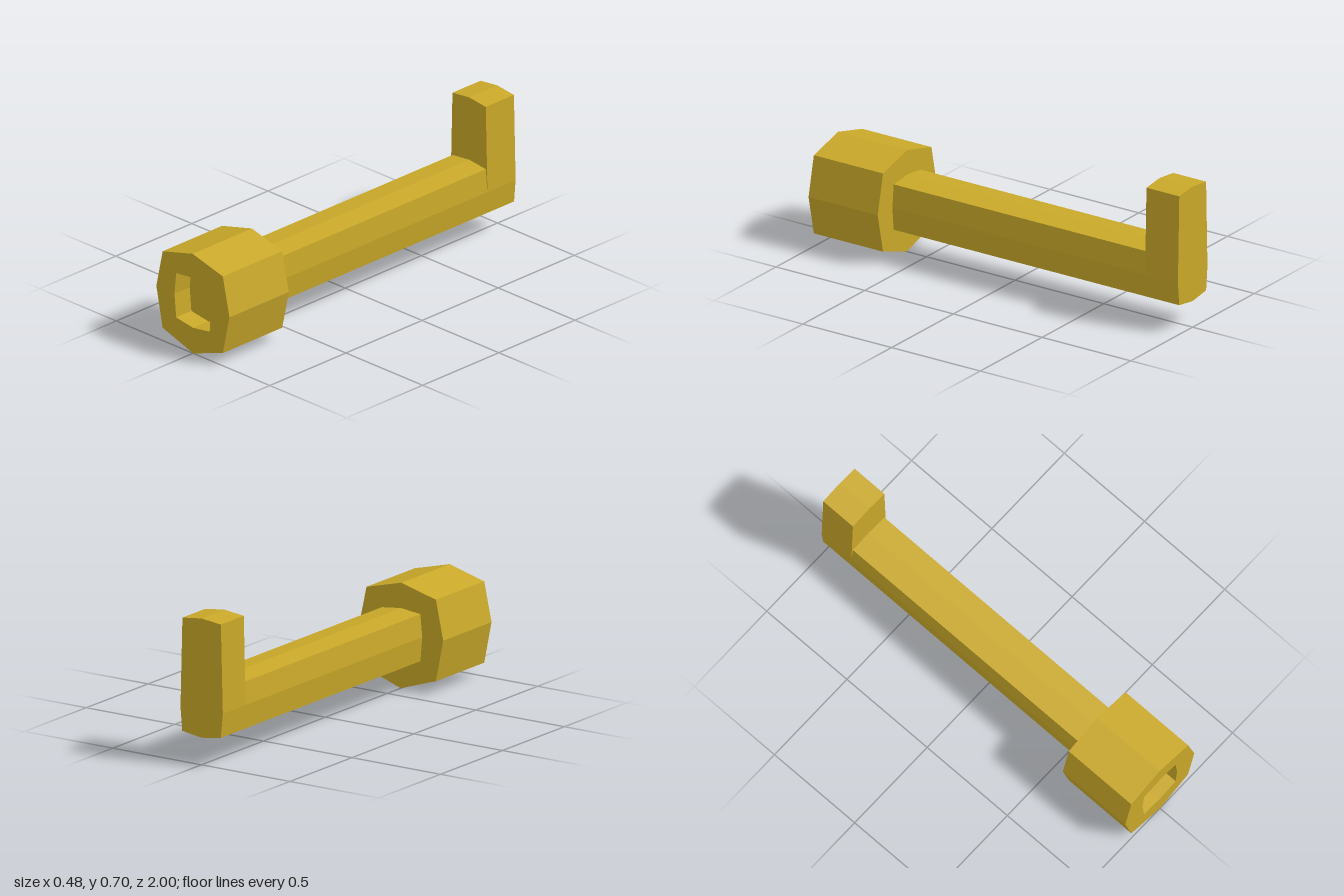
import * as THREE from 'three';

// Eight-sided profiles, counter-clockwise from the left-hand upper corner (x, y)
const socketOutline = [[0.194, 0.457], [-0.003, 0.508], [-0.198, 0.457], [-0.239, 0.267],
  [-0.198, 0.066], [0.001, 0.001], [0.194, 0.066], [0.237, 0.262]];
const barOutline = [[0.107, 0.373], [-0.001, 0.386], [-0.11, 0.374], [-0.121, 0.265],
  [-0.11, 0.148], [0, 0.131], [0.108, 0.147], [0.118, 0.26]];
// The upright end shares the bar's section with its top three corners raised
const uprightOutline = barOutline.map(([x, y], i) => [x, i < 3 ? y + 0.318 : y]);

const toPoints = (outline) => outline.map(([x, y]) => new THREE.Vector2(x, y));

export function createModel() {
  const group = new THREE.Group();
  group.name = 'crankHandle';
  const material = new THREE.MeshStandardMaterial({ color: 0xc9a829 });

  // Straight prism between two depths, optionally bored through
  const addPrism = (name, outline, back, front, bore) => {
    const shape = new THREE.Shape(toPoints(outline));
    if (bore) shape.holes.push(new THREE.Path(toPoints(bore)));
    const geometry = new THREE.ExtrudeGeometry(shape, { depth: front - back, bevelEnabled: false });
    geometry.translate(0, 0, back);
    const mesh = new THREE.Mesh(geometry, material);
    mesh.name = name;
    group.add(mesh);
  };

  // Socket collar; the bar fills its bore and stops short to leave a shallow recess
  addPrism('socket', socketOutline, 0.61, 1, barOutline);
  addPrism('bar', barOutline, -0.815, 0.9);
  addPrism('uprightEnd', uprightOutline, -1, -0.815);

  return group;
}
